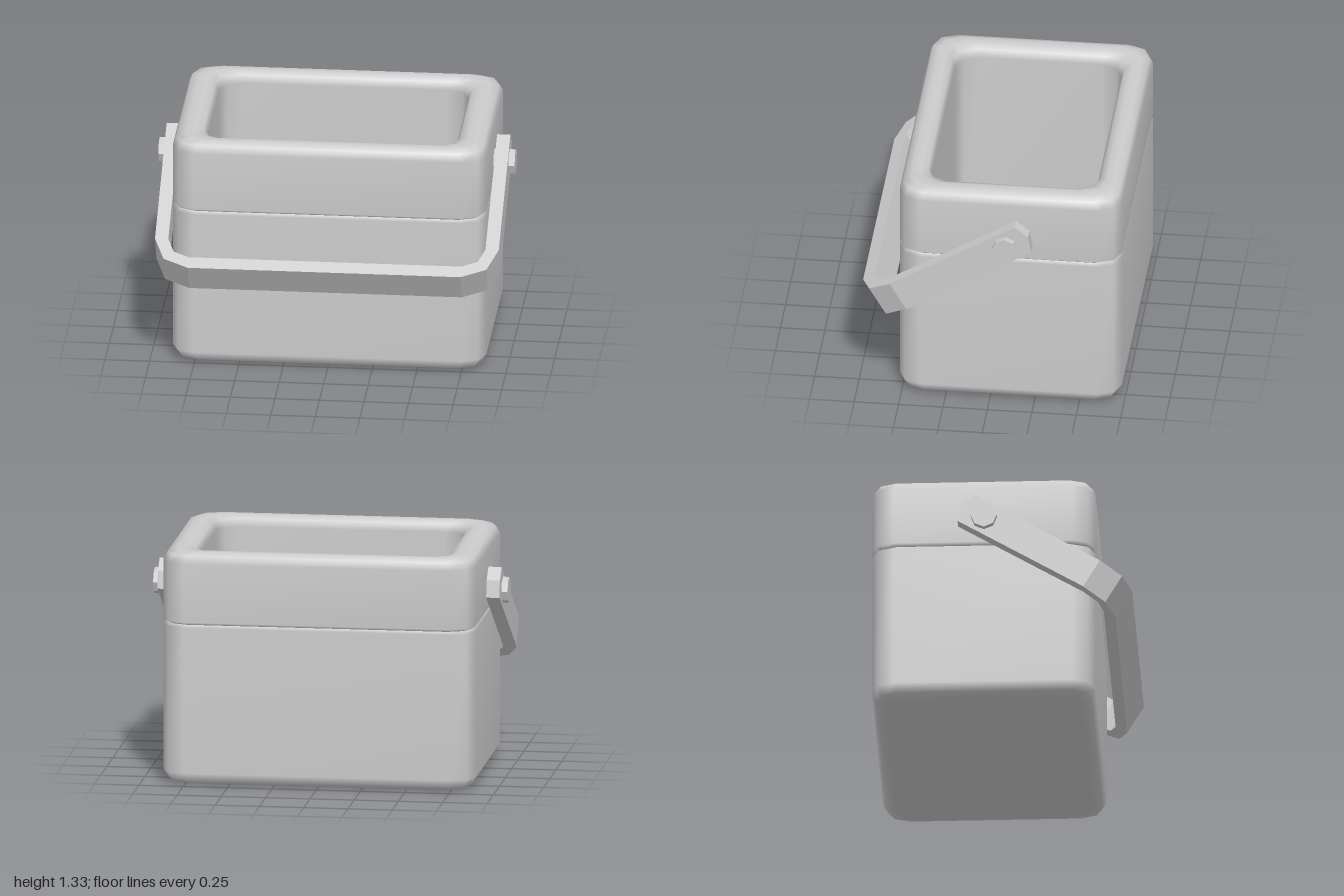
import * as THREE from 'three';

const CENTER_Z = -0.105, HALF_X = 0.88, HALF_Z = 0.625;

// Rounded rectangle ring at a height, pulled in by an inset
function ring(inset, y) {
  const hx = HALF_X - inset, hz = HALF_Z - inset * 0.87, r = 0.125;
  const points = [];
  [[1, 1], [-1, 1], [-1, -1], [1, -1]].forEach(([sx, sz], q) => {
    for (let k = 0; k <= 2; k++) {
      const a = (q + k / 2) * Math.PI / 2;
      points.push([sx * (hx - r) + r * Math.cos(a), y, CENTER_Z + sz * (hz - r) + r * Math.sin(a)]);
    }
  });
  return points;
}

// Smooth skin over a stack of rings, with optional flat caps
function loft(profile, capStart, capEnd) {
  const n = 12, positions = [], index = [];
  profile.forEach(([inset, y]) => ring(inset, y).forEach(p => positions.push(...p)));
  const last = (profile.length - 1) * n;
  for (let i = 0; i < profile.length - 1; i++) {
    for (let j = 0; j < n; j++) {
      const a = i * n + j, b = i * n + (j + 1) % n;
      index.push(a, a + n, b, b, a + n, b + n);
    }
  }
  const cap = (start, y, flip) => {
    const c = positions.length / 3;
    positions.push(0, y, CENTER_Z);
    for (let j = 0; j < n; j++) {
      const a = start + j, b = start + (j + 1) % n;
      index.push(...(flip ? [c, a, b] : [a, c, b]));
    }
  };
  if (capStart) cap(0, profile[0][1], true);
  if (capEnd) cap(last, profile[profile.length - 1][1], false);
  const g = new THREE.BufferGeometry();
  g.setAttribute('position', new THREE.Float32BufferAttribute(positions, 3));
  g.setIndex(index);
  g.computeVertexNormals();
  return g;
}

export function createModel() {
  const model = new THREE.Group();
  const grey = new THREE.MeshStandardMaterial({ color: 0xcccccc });
  grey.name = 'light grey';
  const add = (parent, geometry, name) => {
    const mesh = new THREE.Mesh(geometry, grey);
    mesh.name = name;
    parent.add(mesh);
    return mesh;
  };

  // Lower box, thick rim with hollow interior, and inner floor
  const floorY = 0.18;
  add(model, loft([[0.085, 0], [0.027, 0.02], [0, 0.07], [0, 0.9], [0.02, 0.915]], true, false), 'body');
  add(model, loft([
    [0.02, 0.915], [0, 0.93], [0, 1.265], [0.02, 1.307], [0.065, 1.325],
    [0.115, 1.325], [0.16, 1.307], [0.18, 1.265], [0.18, floorY],
  ], false, false), 'rim');
  add(model, loft([[0.18, floorY]], false, true), 'innerFloor');

  // Handle: a U-shaped strap tilted forward about its pivots
  const handle = new THREE.Group();
  handle.name = 'handle';
  handle.position.set(0, 1.04, -0.095);
  handle.rotation.x = Math.atan2(0.86, -0.511);
  model.add(handle);

  const outer = 0.965, inner = 0.89, end = 0.9, tail = -0.117, width = 0.184;
  const bend = (x, s, r) => [0, 1, 2].map(k => {
    const a = k * Math.PI / 4;
    return [x - r + r * Math.cos(a), s - r + r * Math.sin(a)];
  });
  const mirror = pts => pts.map(([x, s]) => [-x, s]).reverse();
  const outside = [[outer, tail], ...bend(outer, end, 0.2)];
  const inside = [[inner, tail], ...bend(inner, end - 0.075, 0.125)];
  const outline = [...outside, ...mirror(outside), ...mirror(inside).reverse(), ...inside.slice().reverse()];
  // Keep the inner run going from the -x arm back to the +x arm
  const innerRun = [...inside, ...mirror(inside)].reverse();
  outline.splice(outside.length * 2, outline.length, ...innerRun);
  const strap = new THREE.ExtrudeGeometry(
    new THREE.Shape(outline.map(p => new THREE.Vector2(...p))), { depth: width, bevelEnabled: false });
  strap.translate(0, 0, -width / 2);
  add(handle, strap, 'strap');

  // Pointed strap ends and octagonal pivot pins
  for (const side of [-1, 1]) {
    const tip = new THREE.ExtrudeGeometry(new THREE.Shape([
      new THREE.Vector2(-width / 2, tail), new THREE.Vector2(0, -0.151), new THREE.Vector2(width / 2, tail),
    ]), { depth: outer - inner, bevelEnabled: false });
    tip.translate(0, 0, -(outer - inner) / 2);
    tip.rotateY(Math.PI / 2);
    add(handle, tip, 'strapEnd').position.x = side * (outer + inner) / 2;

    const pin = new THREE.CylinderGeometry(0.073, 0.073, 0.14, 8).toNonIndexed();
    pin.computeVertexNormals();
    pin.rotateZ(Math.PI / 2);
    add(model, pin, 'pivotPin').position.set(side * 0.93, 1.04, -0.095);
  }
  return model;
}
